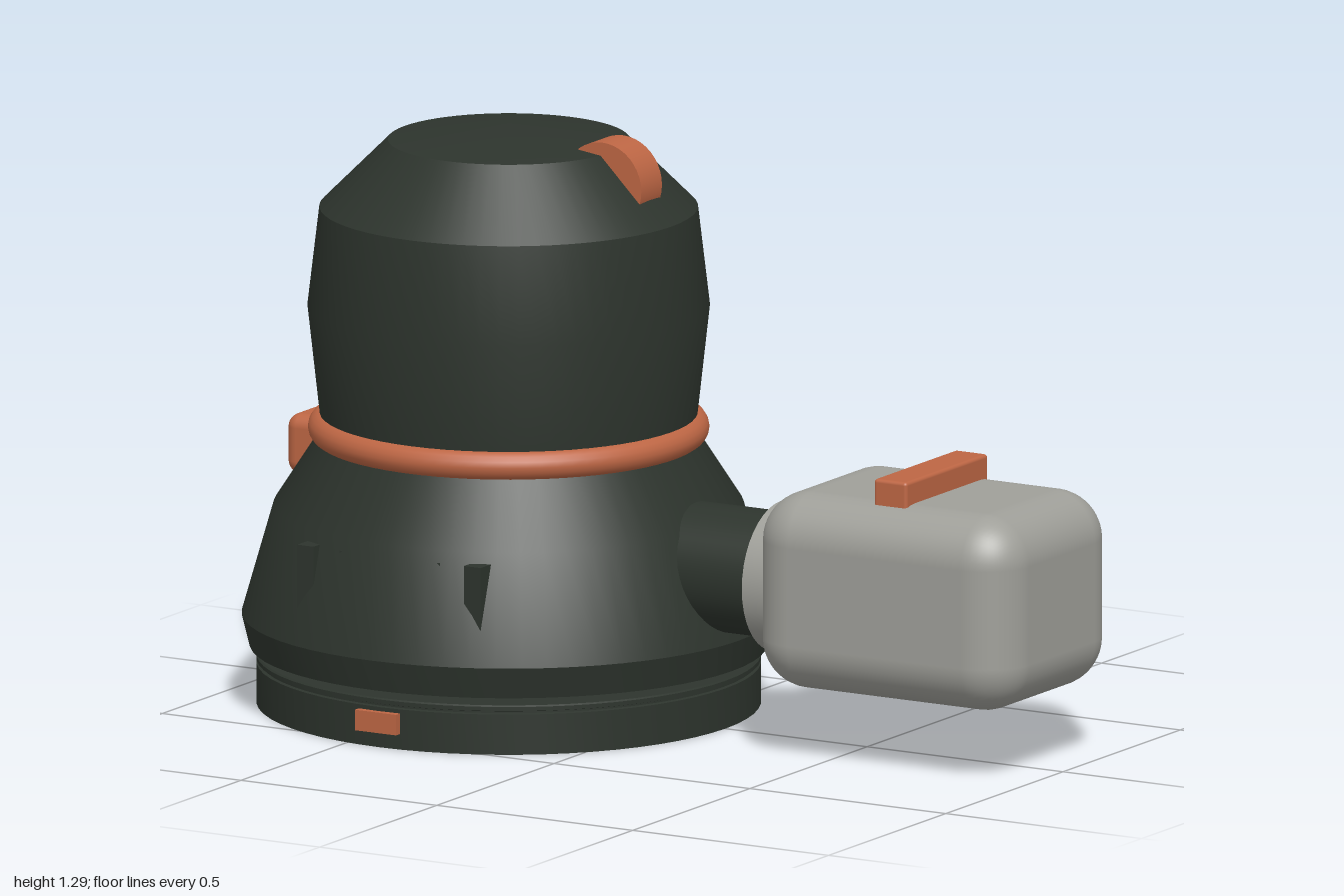
import * as THREE from 'three';
import { toCreasedNormals } from 'three/addons/utils/BufferGeometryUtils.js';
import { RoundedBoxGeometry } from 'three/addons/geometries/RoundedBoxGeometry.js';

function material(name, color) {
  const m = new THREE.MeshStandardMaterial({ color });
  m.name = name;
  return m;
}

export function createModel() {
  const group = new THREE.Group();
  const dark = material('dark green', 0x2d342d);
  const orange = material('burnt orange', 0xbd6644);
  const grey = material('warm grey', 0x9f9f99);
  const cx = -0.415; // axis of the round body

  const add = (name, geometry, mat, x, y, z) => {
    const mesh = new THREE.Mesh(geometry, mat);
    mesh.name = name;
    mesh.position.set(x, y, z);
    group.add(mesh);
    return mesh;
  };
  // Turned solid: smooth around, sharp where the profile bends strongly
  const turned = (profile) => toCreasedNormals(
    new THREE.LatheGeometry(profile.map(([r, y]) => new THREE.Vector2(r, y)), 64), 0.5);

  // Floating base with a thin rim
  add('base', turned([[0, 0], [0.553, 0], [0.553, 0.09], [0.546, 0.092], [0.546, 0.096],
    [0.553, 0.098], [0.553, 0.107], [0.549, 0.11], [0, 0.11]]), dark, cx, 0, 0);
  add('baseTag', new THREE.BoxGeometry(0.105, 0.046, 0.04), orange, cx, 0.058, 0.548);

  // Flared torso and faceted head
  add('torso', turned([[0, 0.13], [0.568, 0.13], [0.585, 0.2], [0.515, 0.445],
    [0.415, 0.6], [0.405, 0.63], [0, 0.63]]), dark, cx, 0, 0);
  add('head', turned([[0, 0.62], [0.411, 0.62], [0.441, 0.89], [0.415, 1.11],
    [0.265, 1.26], [0, 1.295]]), dark, cx, 0, 0);
  add('collarRing', new THREE.TorusGeometry(0.407, 0.033, 16, 80), orange, cx, 0.617, 0)
    .rotation.x = Math.PI / 2;

  // Half-sunk relief on the chest
  for (const side of [-1, 1]) {
    add('chestSlat', new THREE.BoxGeometry(0.042, 0.2, 0.06), dark, cx + side * 0.213, 0.32, 0.481);
  }
  add('chestBar', new THREE.BoxGeometry(0.256, 0.02, 0.06), dark, cx, 0.408, 0.478);

  // Rounded fin on the head
  add('headFin', new THREE.CylinderGeometry(0.1, 0.1, 0.088, 40), orange, -0.15, 1.19, 0)
    .rotation.x = Math.PI / 2;

  // Knob on the right shoulder
  add('shoulderKnob', new RoundedBoxGeometry(0.13, 0.135, 0.2, 4, 0.03), orange, -0.865, 0.5375, 0);

  // Left arm, cuff and mitten
  add('arm', new THREE.CylinderGeometry(0.14, 0.14, 0.3, 40), dark, 0.15, 0.36, 0)
    .rotation.z = Math.PI / 2;
  add('cuff', new THREE.CylinderGeometry(0.167, 0.167, 0.1, 40), grey, 0.33, 0.36, 0)
    .rotation.z = Math.PI / 2;
  add('mitten', new RoundedBoxGeometry(0.662, 0.44, 0.5, 6, 0.11), grey, 0.667, 0.375, 0);
  add('mittenStrap', new RoundedBoxGeometry(0.084, 0.08, 0.35, 3, 0.008), orange, 0.663, 0.607, 0);

  return group;
}
